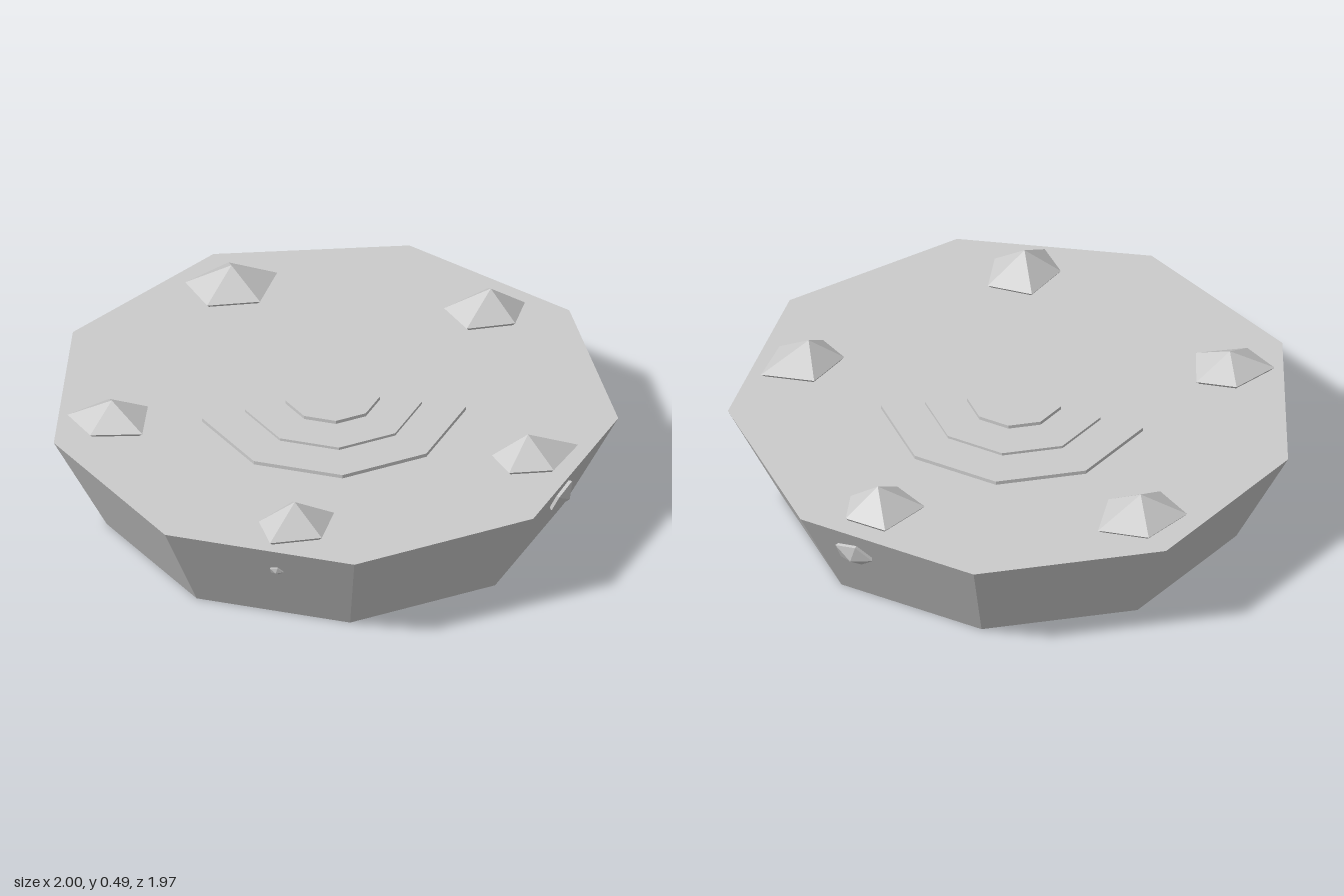
import * as THREE from 'three';

const SIDES = 9, CENTRE_Z = 0.03, HEIGHT = 0.38, R_TOP = 1.015, R_BASE = 0.822;
const material = new THREE.MeshStandardMaterial({ color: 0xcccccc, flatShading: true });

function addMesh(parent, name, geometry) {
  const mesh = new THREE.Mesh(geometry, material);
  mesh.name = name;
  parent.add(mesh);
  return mesh;
}

// Nine-sided slab with one corner pointing to the back
function slab(parent, name, rTop, rBase, y0, y1) {
  const mesh = addMesh(parent, name, new THREE.CylinderGeometry(rTop, rBase, y1 - y0, SIDES));
  mesh.rotation.y = Math.PI;
  mesh.position.set(0, (y0 + y1) / 2, CENTRE_Z);
}

// Faceted pyramid: apex, five-cornered rim, undercut sunk below the rim
function crystalGeometry(apex, rim, rimY, footY) {
  const [ax, ay, az] = apex;
  const top = rim.map(([x, z]) => [x, rimY, z]);
  const foot = rim.map(([x, z]) => [ax + (x - ax) * 0.85, footY, az + (z - az) * 0.85]);
  const positions = [];
  for (let i = 0; i < rim.length; i++) {
    const j = (i + 1) % rim.length;
    positions.push(...apex, ...top[j], ...top[i]);
    positions.push(...top[i], ...top[j], ...foot[j]);
    positions.push(...top[i], ...foot[j], ...foot[i]);
    positions.push(ax, footY, az, ...foot[i], ...foot[j]);
  }
  const geometry = new THREE.BufferGeometry();
  geometry.setAttribute('position', new THREE.Float32BufferAttribute(positions, 3));
  geometry.computeVertexNormals();
  return geometry;
}

// Crystals on the upper face: apex, then rim corners (x, z) clockwise from above
const TOP_CRYSTALS = [
  [[-0.03, 0.478, -0.765], [[0.02, -0.9], [0.15, -0.77], [0.02, -0.63], [-0.16, -0.685], [-0.17, -0.85]]],
  [[0.74, 0.485, -0.245], [[0.79, -0.375], [0.87, -0.24], [0.785, -0.135], [0.615, -0.175], [0.595, -0.325]]],
  [[0.487, 0.48, 0.63], [[0.535, 0.515], [0.675, 0.645], [0.53, 0.755], [0.38, 0.705], [0.37, 0.58]]],
  [[-0.44, 0.485, 0.68], [[-0.39, 0.55], [-0.285, 0.675], [-0.39, 0.8], [-0.57, 0.755], [-0.55, 0.615]]],
  [[-0.755, 0.465, -0.19], [[-0.715, -0.3], [-0.61, -0.2], [-0.7, -0.05], [-0.87, -0.12], [-0.89, -0.27]]],
];

// Crystals on the sloping wall: position angle and wall angle (degrees from front), height, size
const WALL_CRYSTALS = [
  [39, 40, 0.27, 1],
  [110, 120, 0.265, 1],
  [-37, -40, 0.265, 0.35],
];

export function createModel() {
  const model = new THREE.Group();
  model.name = 'steppedPlatform';

  slab(model, 'platformBody', R_TOP, R_BASE, 0, HEIGHT);

  // Three low steps in the middle
  [[0.475, 0.394], [0.318, 0.404], [0.17, 0.417]].forEach(([r, y], i) =>
    slab(model, 'centreStep' + (i + 1), r, r, HEIGHT - 0.01, y));

  TOP_CRYSTALS.forEach(([apex, rim], i) =>
    addMesh(model, 'topCrystal' + (i + 1), crystalGeometry(apex, rim, 0.392, 0.37)));

  // Small crystals pointing straight out of the wall
  const rim = [[0.02, -0.06], [0.075, 0], [0.02, 0.055], [-0.06, 0.04], [-0.065, -0.035]];
  const slope = Math.atan((R_TOP - R_BASE) * Math.cos(Math.PI / SIDES) / HEIGHT);
  WALL_CRYSTALS.forEach(([angle, wall, y, size], i) => {
    const a = THREE.MathUtils.degToRad(angle), w = THREE.MathUtils.degToRad(wall);
    const apothem = (R_BASE + (R_TOP - R_BASE) * y / HEIGHT) * Math.cos(Math.PI / SIDES);
    const r = apothem / Math.cos(a - w);
    const mesh = addMesh(model, 'wallCrystal' + (i + 1), crystalGeometry([0, 0.04, 0], rim, 0.012, -0.01));
    mesh.position.set(r * Math.sin(a), y, CENTRE_Z + r * Math.cos(a));
    mesh.rotation.set(Math.PI / 2 + slope, w, 0, 'YXZ');
    mesh.scale.setScalar(size);
  });

  return model;
}
